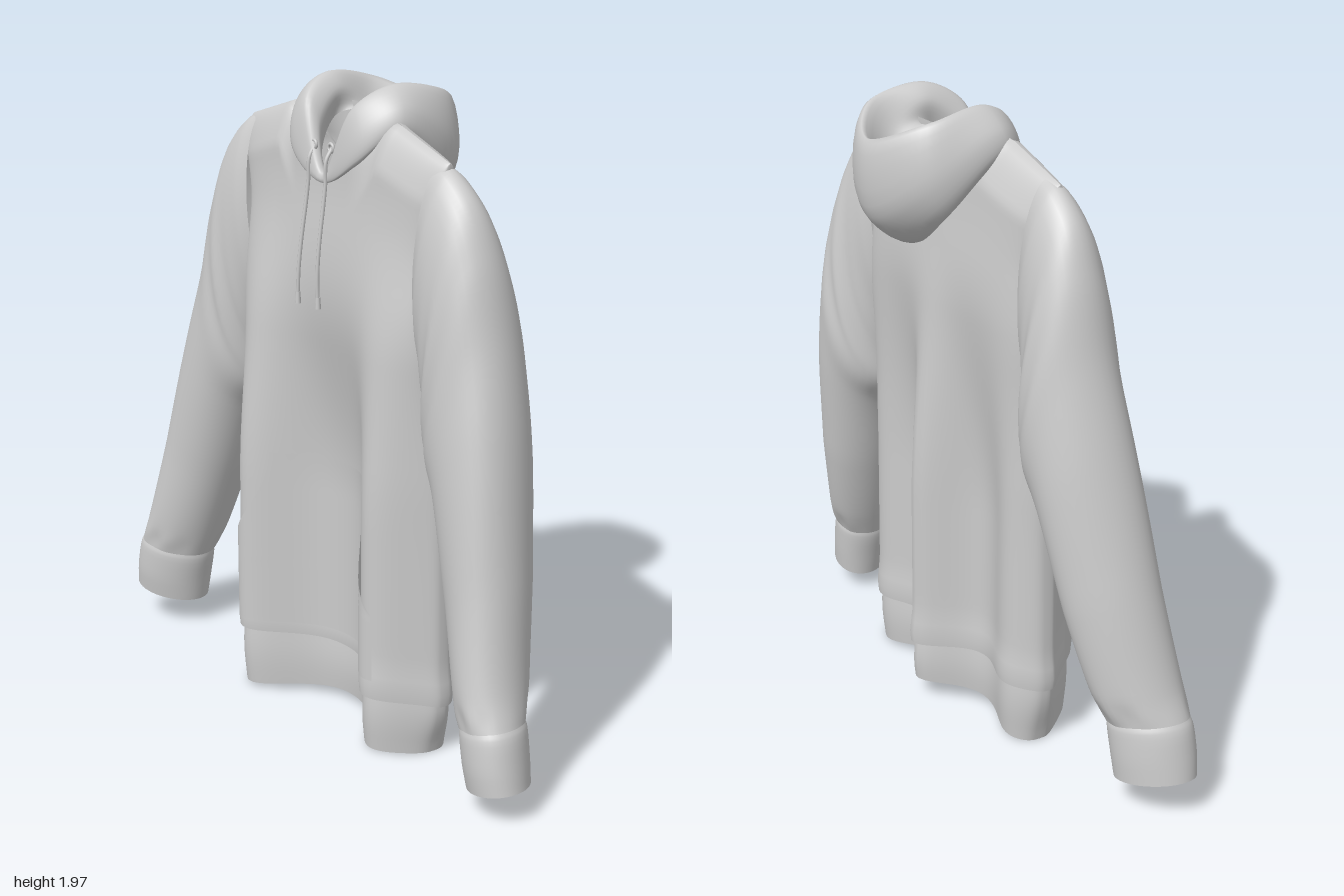
import * as THREE from 'three';

const material = new THREE.MeshStandardMaterial({ color: 0xcccccc, side: THREE.DoubleSide });
const { lerp, smoothstep } = THREE.MathUtils;
const bump = (x, c, w) => Math.exp(-(((x - c) / w) ** 2));
const AXIS = 0.045; // the garment hangs slightly off centre

// Smooth surface from a rule fn(u, v) -> [x, y, z]; u wraps round when closed
function sheet(name, nu, nv, closed, fn) {
  const pos = [], index = [];
  const cols = closed ? nu : nu + 1;
  for (let j = 0; j <= nv; j++)
    for (let i = 0; i < cols; i++) pos.push(...fn(i / nu, j / nv));
  for (let j = 0; j < nv; j++)
    for (let i = 0; i < nu; i++) {
      const a = j * cols + i, b = j * cols + ((i + 1) % cols);
      index.push(a, a + cols, b, b, a + cols, b + cols);
    }
  const g = new THREE.BufferGeometry();
  g.setAttribute('position', new THREE.Float32BufferAttribute(pos, 3));
  g.setIndex(index);
  g.computeVertexNormals();
  const mesh = new THREE.Mesh(g, material);
  mesh.name = name;
  return mesh;
}

// Eased lookup in a list of [y, value, value] rows
function lookup(rows, y, k) {
  if (y <= rows[0][0]) return rows[0][k];
  for (let i = 1; i < rows.length; i++) {
    const a = rows[i - 1], b = rows[i];
    if (y <= b[0]) return lerp(a[k], b[k], smoothstep(y, a[0], b[0]));
  }
  return rows[rows.length - 1][k];
}

// Side edges of the body by height
const EDGES = [[0, -0.41, 0.5], [0.2, -0.44, 0.53], [0.8, -0.43, 0.525],
  [1.2, -0.405, 0.505], [1.5, -0.395, 0.48], [1.8, -0.45, 0.53]];
const MID = 0.075;

// Draped cloth: two front lobes with a deep valley, three folds at the back
function frontZ(x, y) {
  const low = 0.085 + 0.22 * bump(x, -0.25, 0.16) + 0.195 * bump(x, 0.385, 0.145);
  const high = lerp(0.22, 0.16, smoothstep(y, 1.2, 1.75));
  return lerp(low, high, smoothstep(y, 0.7, 1.6));
}
function backZ(x, y) {
  const low = 0.03 - 0.155 * bump(x, 0.03, 0.11) - 0.085 * (bump(x, -0.36, 0.12) + bump(x, 0.41, 0.13));
  const high = lerp(-0.065, -0.025, smoothstep(y, 1.35, 1.85));
  return lerp(low, high, smoothstep(y, 0.7, 1.55));
}

function bodyPoint(angle, yForWidth, y, inset, close) {
  const l = lookup(EDGES, yForWidth, 1) + inset, r = lookup(EDGES, yForWidth, 2) - inset;
  const c = Math.cos(angle), s = Math.sin(angle);
  const x = (l + r) / 2 + (c * (r - l)) / 2;
  const yy = y(x, s);
  const round = Math.abs(s) ** lerp(0.6, 0.4, smoothstep(yy, 0.9, 1.4)) * close(x, yy, s);
  const surface = s >= 0 ? frontZ(x, yy) - inset : backZ(x, yy) + inset;
  return [x, yy, lerp(MID, surface, round)];
}

// Shoulder slope, with a scooped neckline at the front
function topY(x, s) {
  const d = Math.abs(x - AXIS);
  const shoulder = 1.89 - 0.32 * Math.max(0, d - 0.23) - 0.02 * x;
  return s > 0 && d < 0.24 ? Math.min(shoulder, 1.69 + 0.19 * (d / 0.24) ** 2) : shoulder;
}
function shoulderClose(x, y, s) {
  const d = Math.abs(x - AXIS);
  const closed = Math.min(1, Math.sqrt(Math.max(0, topY(x, s) - y) / 0.13));
  return lerp(1, closed, smoothstep(d, 0.13, 0.26));
}
const seamY = (x, s) => 0.185 - 0.035 * x + 0.02 * Math.abs(s);

function body() {
  return sheet('body', 128, 64, true, (u, v) => {
    const row = 1 - (1 - v) ** 1.4; // finer rows near the shoulders
    return bodyPoint(u * Math.PI * 2, 0.2 + 1.6 * row,
      (x, s) => lerp(seamY(x, s), topY(x, s), row), -0.01 * bump(row, 0.02, 0.03), shoulderClose);
  });
}

function hemBand() {
  return sheet('hemBand', 128, 8, true, (u, v) => bodyPoint(
    u * Math.PI * 2, 0.2 * v,
    (x, s) => lerp(0.005 + (s < 0 ? 0.065 * -s : 0.03 * s) * bump(x, 0.03, 0.3), seamY(x, s), v),
    0.01 - 0.006 * Math.sin(v * Math.PI), () => 1));
}

// Kangaroo pocket laid on the body front
function pocket() {
  return sheet('pocket', 48, 28, false, (u, v) => {
    const y = lerp(0.245, 0.81, v);
    const cut = 1 - Math.max(0, (y - 0.45) / 0.36);
    const side = cut * cut;
    const x = lerp(-0.15 - 0.21 * side, 0.235 + 0.165 * side, u);
    const c = (x - 0.045) / 0.485;
    return [x, y, lerp(MID, frontZ(x, y), (1 - c * c) ** 0.3) + 0.01];
  });
}

// Sleeve stations: outer x, y, inner x, y, centre z, half depth
const SLEEVE = [
  [-0.4, 1.825, -0.355, 1.25, 0.07, 0.085], [-0.455, 1.805, -0.37, 1.21, 0.07, 0.105],
  [-0.54, 1.73, -0.395, 1.14, 0.068, 0.12], [-0.605, 1.59, -0.42, 1.03, 0.06, 0.14],
  [-0.665, 1.35, -0.435, 0.94, 0.055, 0.153], [-0.735, 1.1, -0.5, 0.85, 0.063, 0.152],
  [-0.84, 0.7, -0.61, 0.58, 0.09, 0.14], [-0.92, 0.4, -0.7, 0.35, 0.13, 0.125],
  [-0.955, 0.31, -0.735, 0.265, 0.15, 0.106]];
const CUFF = [
  [-0.95, 0.315, -0.738, 0.27, 0.15, 0.1], [-0.966, 0.29, -0.738, 0.245, 0.152, 0.107],
  [-0.985, 0.21, -0.755, 0.165, 0.155, 0.107], [-0.998, 0.135, -0.77, 0.09, 0.155, 0.1]];

function tube(name, stations, side, nv, wrinkle) {
  const curves = [0, 2, 4].map(k => new THREE.CatmullRomCurve3(
    stations.map(s => new THREE.Vector3(s[k], s[k + 1], 0))));
  return sheet(name, 40, nv, true, (u, v) => {
    const [o, i, d] = curves.map(c => c.getPoint(v));
    const a = u * Math.PI * 2, c = Math.cos(a), s = Math.sin(a);
    // soft creases towards the armpit and above the cuff
    const crease = wrinkle * (bump(v, 0.38, 0.12) * Math.sin(v * 40 + c * 4) * (1 - c) +
      bump(v, 0.95, 0.06) * Math.sin(a * 7));
    const x = (o.x + i.x) / 2 + c * (o.x - i.x) / 2;
    const y = (o.y + i.y) / 2 + c * (o.y - i.y) / 2;
    // the outer side of the forearm turns forward
    const z = d.x + s * (d.y + crease) + 0.03 * c * smoothstep(-x, 0.55, 0.8);
    if (side < 0) return [x, y, z];
    return [-x + 0.09 * smoothstep(y, 0.2, 1.4), y - 0.03, z];
  });
}

// Hood stations from front centre round to back centre: offset x, y, z,
// each running from the outer seam over the crest to the inner neck
const HOOD = [
  [[0, 1.68, 0.16], [0, 1.68, 0.168], [0, 1.69, 0.172], [0, 1.705, 0.165], [0, 1.705, 0.15], [0, 1.69, 0.135]],
  [[0.13, 1.735, 0.145], [0.165, 1.765, 0.16], [0.165, 1.85, 0.155], [0.115, 1.91, 0.14], [0.075, 1.85, 0.12], [0.08, 1.75, 0.11]],
  [[0.225, 1.83, 0.06], [0.25, 1.86, 0.06], [0.235, 1.92, 0.045], [0.16, 1.975, 0.03], [0.115, 1.93, 0.015], [0.12, 1.85, 0.03]],
  [[0.13, 1.69, -0.04], [0.195, 1.67, -0.12], [0.205, 1.78, -0.175], [0.165, 1.945, -0.155], [0.11, 1.87, -0.095], [0.085, 1.87, -0.025]],
  [[0, 1.61, -0.03], [0, 1.545, -0.12], [0, 1.65, -0.262], [0, 1.88, -0.262], [0, 1.76, -0.15], [0, 1.88, -0.03]]];

function hood() {
  const mirrored = HOOD.slice(1, 4).reverse().map(st => st.map(([x, y, z]) => [-x, y, z]));
  const loops = HOOD[0].map((_, k) => new THREE.CatmullRomCurve3(
    [...HOOD, ...mirrored].map(st => new THREE.Vector3(...st[k])), true));
  const nu = 80;
  const sections = Array.from({ length: nu }, (_, i) =>
    new THREE.CatmullRomCurve3(loops.map(c => c.getPoint(i / nu))));
  return sheet('hood', nu, 28, true, (u, v) => {
    const p = sections[Math.round(u * nu) % nu].getPoint(v);
    return [p.x + AXIS, p.y, p.z];
  });
}

// Drawstring with an eyelet and a tip, hanging on the chest
function drawstring(x0, x1) {
  const group = new THREE.Group();
  group.name = 'drawstring';
  const add = (name, geometry, x, y, z) => {
    const m = new THREE.Mesh(geometry, material);
    m.name = name;
    m.position.set(x, y, z);
    group.add(m);
  };
  const pts = [new THREE.Vector3(x0, 1.785, 0.15)];
  for (let i = 0; i <= 6; i++) {
    const y = lerp(1.75, 1.34, i / 6), x = lerp(x0, x1, i / 6);
    pts.push(new THREE.Vector3(x, y, frontZ(x, y) + 0.012));
  }
  add('cord', new THREE.TubeGeometry(new THREE.CatmullRomCurve3(pts), 40, 0.006, 8), 0, 0, 0);
  add('eyelet', new THREE.TorusGeometry(0.012, 0.005, 8, 16), x0, 1.785, 0.155);
  add('tip', new THREE.CylinderGeometry(0.007, 0.009, 0.035, 10), x1, 1.325, frontZ(x1, 1.325) + 0.012);
  return group;
}

export function createModel() {
  const model = new THREE.Group();
  model.name = 'hoodedSweatshirt';
  model.add(body(), hemBand(), pocket(), hood());
  for (const side of [-1, 1]) {
    const label = side < 0 ? 'right' : 'left';
    model.add(tube(label + 'Sleeve', SLEEVE, side, 60, 0.005));
    model.add(tube(label + 'Cuff', CUFF, side, 10, 0));
  }
  model.add(drawstring(-0.01, -0.03), drawstring(0.075, 0.065));
  return model;
}
